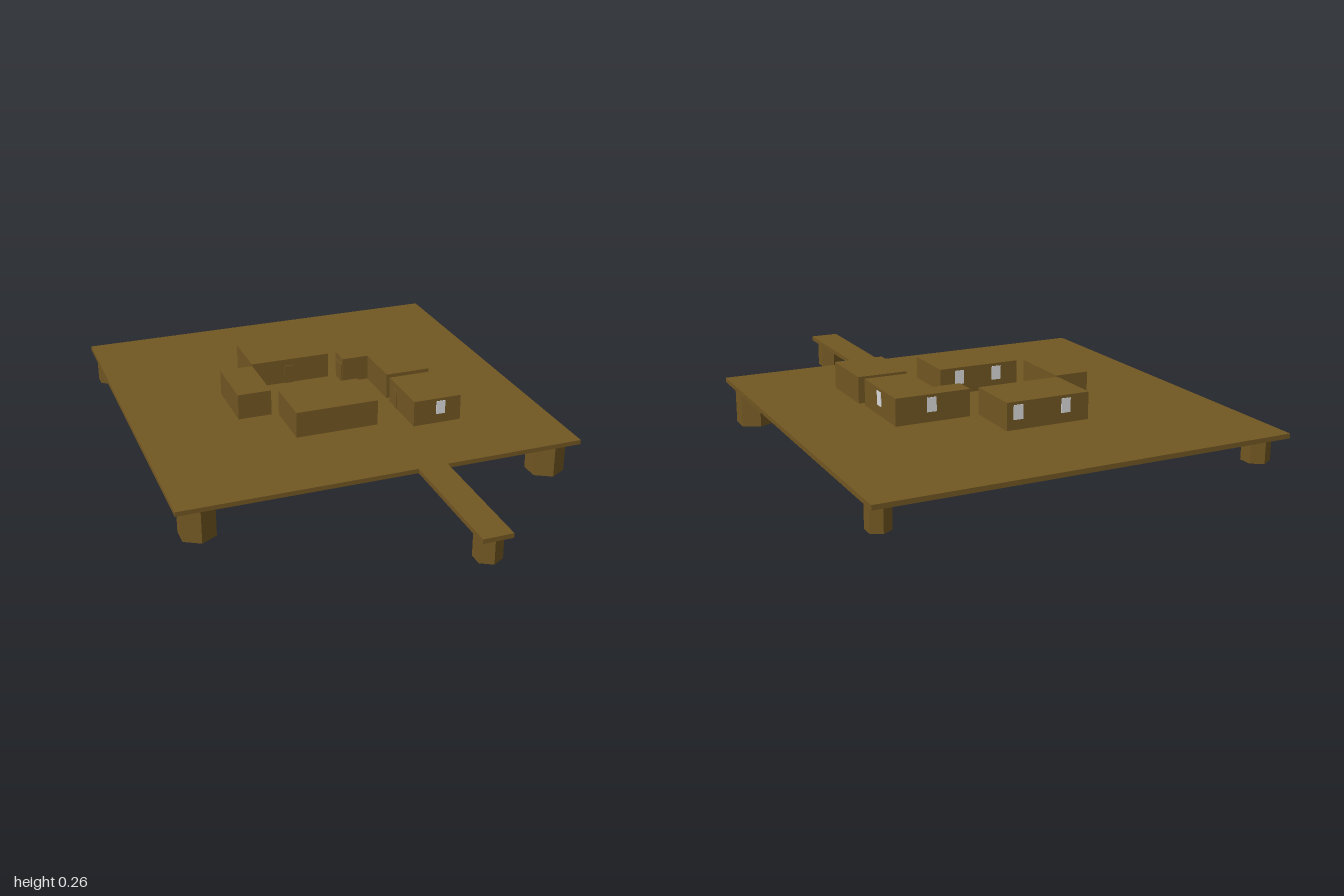
import * as THREE from 'three';

const wood = new THREE.MeshStandardMaterial({ color: 0x725722 });
wood.name = 'wood brown';
const glass = new THREE.MeshStandardMaterial({ color: 0xdcdcdc });
glass.name = 'window grey';

const DECK_BOTTOM = 0.14, DECK_TOP = 0.157, ROOF = 0.256;

export function createModel() {
  const model = new THREE.Group();
  model.name = 'stiltVillage';

  const add = (name, geometry, material = wood) => {
    const mesh = new THREE.Mesh(geometry, material);
    mesh.name = name;
    model.add(mesh);
    return mesh;
  };

  // box given by its limits on each axis
  const block = (name, x0, x1, y0, y1, z0, z1, material) =>
    add(name, new THREE.BoxGeometry(x1 - x0, y1 - y0, z1 - z0), material)
      .position.set((x0 + x1) / 2, (y0 + y1) / 2, (z0 + z1) / 2);

  // platform and pier
  block('deck', -0.755, 0.75, DECK_BOTTOM, DECK_TOP, -1, 0.5);
  block('pier', 0.11, 0.22, DECK_BOTTOM, DECK_TOP, 0.5, 1);

  // six-sided posts of uneven length: x, z, radius, foot height
  const posts = [
    [-0.665, 0.415, 0.069, 0.01],
    [0.672, 0.388, 0.072, 0],
    [-0.702, -0.895, 0.05, 0.04],
    [0.707, -0.943, 0.042, 0.055],
    [0.165, 0.933, 0.05, 0.042],
  ];
  for (const [x, z, r, foot] of posts) {
    const h = DECK_BOTTOM - foot;
    add('post', new THREE.CylinderGeometry(r, r, h, 6).toNonIndexed())
      .position.set(x, foot + h / 2, z);
  }
  wood.flatShading = true;

  // rectangular houses: x0, x1, z0, z1
  const houses = [
    ['backHouse', -0.232, 0.085, -0.567, -0.355],
    ['rightHouse', -0.365, -0.236, -0.34, -0.095],
    ['middleHouse', -0.21, 0.107, -0.087, 0.125],
    ['frontLeftHouse', 0.226, 0.414, -0.05, 0.187],
  ];
  for (const [name, x0, x1, z0, z1] of houses) {
    block(name, x0, x1, DECK_TOP, ROOF, z0, z1);
  }

  // L-shaped house, plan drawn with y = -z
  const plan = new THREE.Shape([
    [0.12, 0.28], [0.226, 0.28], [0.226, 0.08],
    [0.402, 0.08], [0.402, 0.36], [0.12, 0.36],
  ].map(([x, y]) => new THREE.Vector2(x, y)));
  const corner = new THREE.ExtrudeGeometry(plan, { depth: ROOF - DECK_TOP, bevelEnabled: false });
  corner.rotateX(-Math.PI / 2);
  add('cornerHouse', corner).position.y = DECK_TOP;

  // windows: centre x, z and whether the wall faces along x
  const windows = [
    [0.333, 0.187, false],
    [0.402, -0.217, true],
    [0.042, -0.567, false],
    [-0.142, -0.567, false],
    [0.03, -0.087, false],
    [-0.123, -0.087, false],
    [0.267, -0.36, false],
  ];
  for (const [x, z, alongX] of windows) {
    const w = alongX ? 0.002 : 0.018, d = alongX ? 0.018 : 0.002;
    block('window', x - w, x + w, 0.193, 0.245, z - d, z + d, glass);
  }

  // thin doors
  block('door', -0.098, -0.062, DECK_TOP, 0.23, -0.357, -0.351);
  block('door', 0.117, 0.123, DECK_TOP, 0.23, -0.35, -0.29);
  block('door', 0.223, 0.229, DECK_TOP, 0.23, -0.005, 0.025);

  return model;
}
